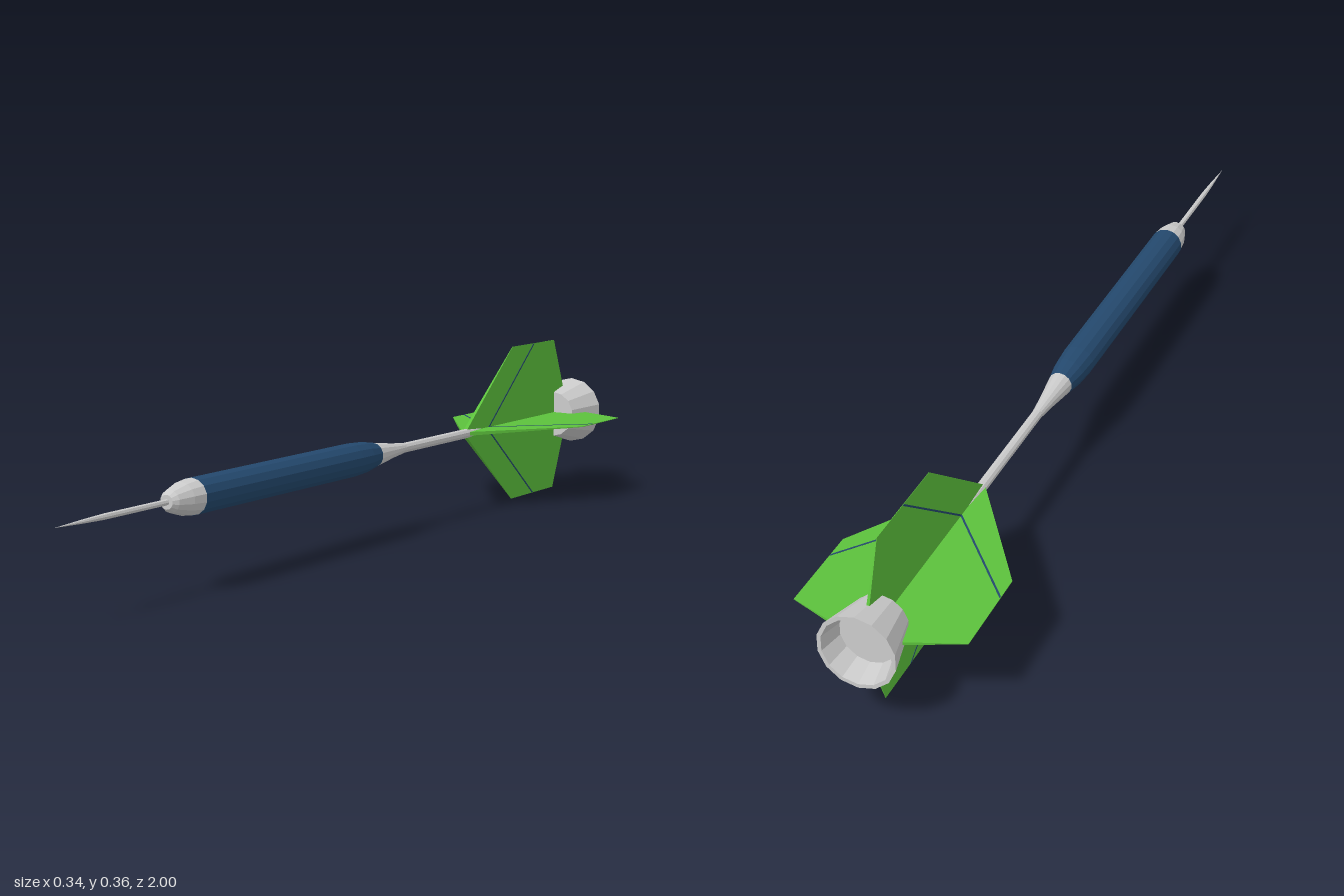
import * as THREE from 'three';

const SIDES = 14;
const AXIS_Y = 0.18;

const grey = new THREE.MeshStandardMaterial({ color: 0xcccccc, flatShading: true });
const navy = new THREE.MeshStandardMaterial({ color: 0x24496e, flatShading: true });
const green = new THREE.MeshStandardMaterial({ color: 0x5cc13c, flatShading: true });

// Turned part along z; profile is [radius, z], from back to front
function turned(name, profile, material, sides = SIDES) {
  const points = profile.map(([r, z]) => new THREE.Vector2(r, z));
  const geometry = new THREE.LatheGeometry(points, sides).rotateX(Math.PI / 2);
  const mesh = new THREE.Mesh(geometry, material);
  mesh.name = name;
  return mesh;
}

// Thin plate from a [z, radius] outline, thinning from root to outer edge
function blade(name, outline, material, extra = 0) {
  const shape = new THREE.Shape(outline.map(([z, r]) => new THREE.Vector2(z, r)));
  const geometry = new THREE.ExtrudeGeometry(shape, { depth: 1, bevelEnabled: false });
  const p = geometry.attributes.position;
  for (let i = 0; i < p.count; i++) {
    const z = p.getX(i), r = p.getY(i), side = p.getZ(i) - 0.5;
    const thickness = 0.009 - 0.045 * r + extra;
    p.setXYZ(i, -side * thickness, r, z);
  }
  geometry.computeVertexNormals();
  const mesh = new THREE.Mesh(geometry, material);
  mesh.name = name;
  return mesh;
}

// One fin with its diagonal stripe
function makeFin(span, shoulder, rear, stripeEnd) {
  const fin = new THREE.Group();
  fin.add(blade('finPlate', [
    [-0.46, 0], [-0.46, 0.009], [shoulder, span], [rear, span], [-0.948, 0.06], [-0.948, 0],
  ], green));
  fin.add(blade('finStripe', [
    [-0.56, 0.004], [stripeEnd, span - 0.001], [stripeEnd - 0.006, span - 0.001], [-0.566, 0.004],
  ], navy, 0.0012));
  return fin;
}

export function createModel() {
  const dart = new THREE.Group();
  dart.name = 'dart';
  const body = new THREE.Group();
  body.name = 'dartBody';
  body.position.y = AXIS_Y;
  dart.add(body);

  // Needle, nose, grip and shaft
  body.add(turned('needle', [[0.006, 0.66], [0.006, 0.86], [0.004, 0.92], [0, 1]], grey, 8));
  body.add(turned('noseCone', [[0.036, 0.595], [0.032, 0.63], [0.022, 0.665], [0.014, 0.676], [0, 0.676]], grey));
  body.add(turned('gripBarrel', [
    [0, -0.055], [0.026, -0.055], [0.033, -0.01], [0.036, 0.04], [0.036, 0.597], [0, 0.597],
  ], navy));
  body.add(turned('shaftCollar', [[0.011, -0.18], [0.016, -0.13], [0.026, -0.053]], grey));
  body.add(turned('shaft', [[0, -0.57], [0.004, -0.57], [0.011, -0.46], [0.011, -0.175]], grey, 10));

  // Four crossed fins; the upright pair is slightly larger
  const finNames = ['topFin', 'rightFin', 'bottomFin', 'leftFin'];
  finNames.forEach((name, i) => {
    const fin = i % 2 === 0
      ? makeFin(0.18, -0.685, -0.9, -0.79)
      : makeFin(0.172, -0.71, -0.905, -0.76);
    fin.name = name;
    fin.rotation.z = i * Math.PI / 2;
    body.add(fin);
  });

  // Flared hollow cup, open to the back
  body.add(turned('tailCup', [
    [0, -0.95], [0.058, -0.95], [0.07, -1], [0.078, -1], [0.054, -0.897], [0, -0.897],
  ], grey));

  return dart;
}
